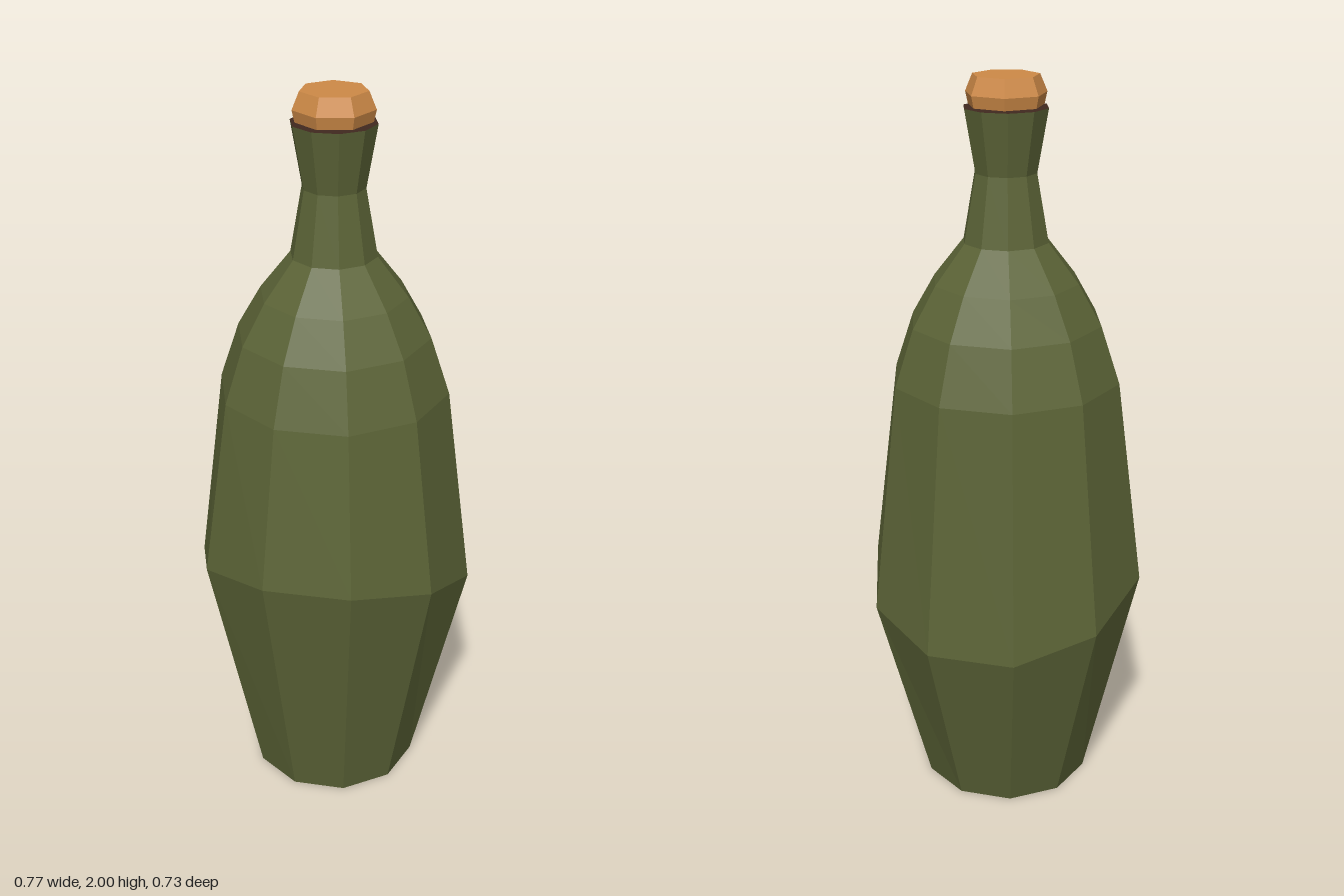
import * as THREE from 'three';

// Faceted lathe with a corner on the x axis; points run [radius, y] from bottom to top.
function facetedLathe(points, sides, adjust) {
  const profile = points.map(([r, y]) => new THREE.Vector2(r, y));
  const geometry = new THREE.LatheGeometry(profile, sides, Math.PI / 2);
  if (adjust) {
    const pos = geometry.attributes.position;
    for (let i = 0; i < pos.count; i++) {
      pos.setY(i, adjust(pos.getY(i), pos.getZ(i)));
    }
  }
  const flat = geometry.toNonIndexed();
  flat.computeVertexNormals();
  return flat;
}

export function createModel() {
  const glass = new THREE.MeshStandardMaterial({ color: 0x5c6437 });
  glass.name = 'olive glass';
  const cork = new THREE.MeshStandardMaterial({ color: 0xce8a47 });
  cork.name = 'cork';
  const dark = new THREE.MeshStandardMaterial({ color: 0x40291f });
  dark.name = 'dark brown';

  const model = new THREE.Group();
  model.name = 'bottle';
  const add = (name, geometry, material) => {
    const mesh = new THREE.Mesh(geometry, material);
    mesh.name = name;
    model.add(mesh);
  };

  const SIDES = 10;
  const BELLY = 0.64;

  // Body: the widest ring slopes up towards the front
  add('body', facetedLathe([
    [0.235, 0], [0.385, BELLY], [0.312, 1.205],
  ], SIDES, (y, z) => (Math.abs(y - BELLY) < 0.001 ? y + 0.33 * z : y)), glass);

  // Shoulder curving into the throat
  add('shoulder', facetedLathe([
    [0.312, 1.205], [0.26, 1.36], [0.197, 1.47], [0.115, 1.575], [0.083, 1.755],
  ], SIDES), glass);

  // Flared neck
  add('neck', facetedLathe([[0.083, 1.755], [0.112, 1.92]], SIDES), glass);

  // Underside and mouth
  add('base', facetedLathe([[0, 0], [0.235, 0]], SIDES), dark);
  add('mouth', facetedLathe([[0.112, 1.92], [0, 1.92]], SIDES), dark);

  // Seven-sided stopper with a bevelled top
  add('stopper', facetedLathe([
    [0, 1.924], [0.1, 1.924], [0.107, 1.955], [0.088, 2.0], [0, 2.0],
  ], 7), cork);

  return model;
}
